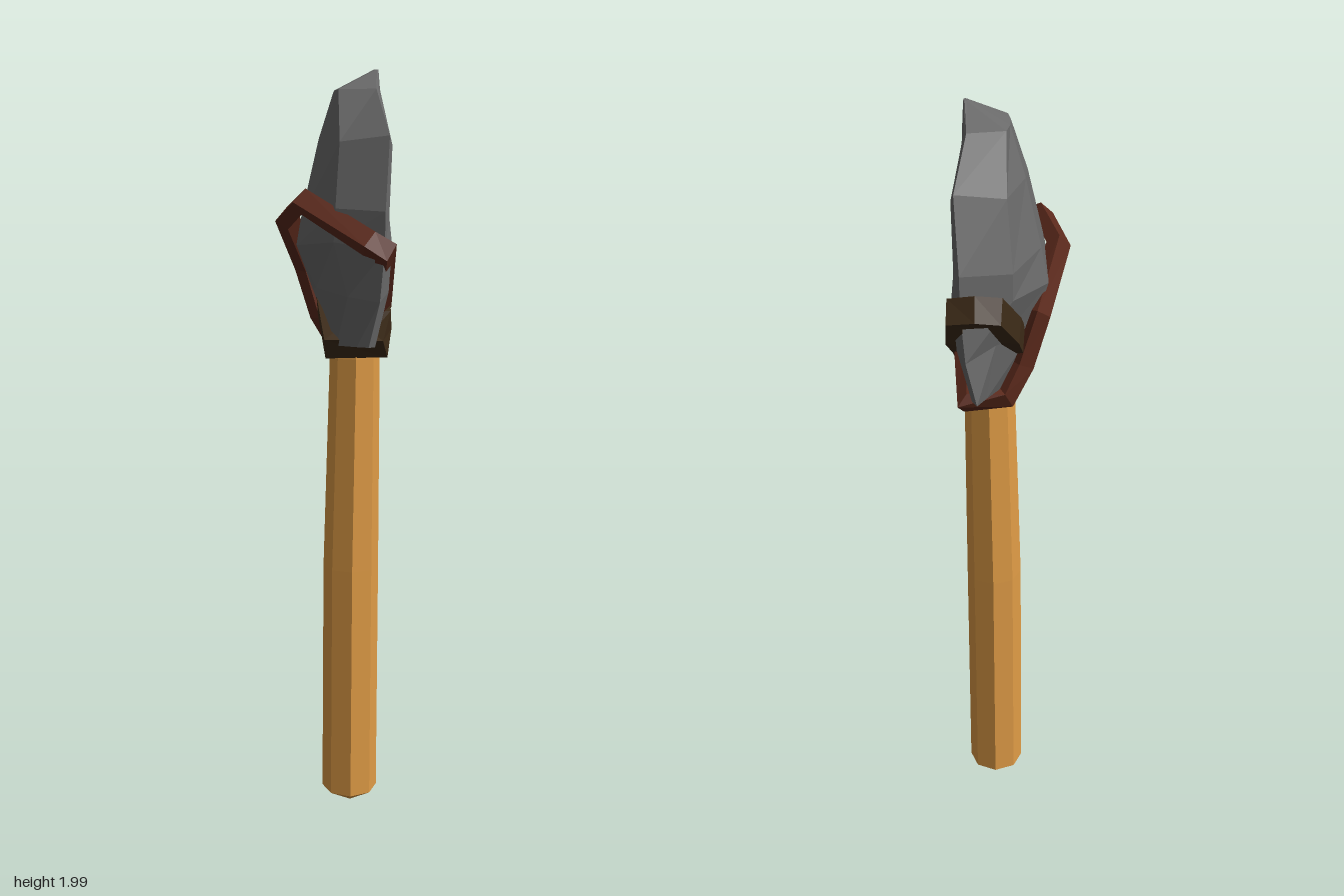
import * as THREE from 'three';

const V = (x, y, z) => new THREE.Vector3(x, y, z);

// Skins a list of equal-sized rings; loops back to the start or caps both ends.
function loft(rings, closed) {
  const n = rings[0].length, pos = [], idx = [];
  rings.flat().forEach(p => pos.push(p.x, p.y, p.z));
  const rows = closed ? rings.length : rings.length - 1;
  for (let i = 0; i < rows; i++) {
    const k = ((i + 1) % rings.length) * n;
    for (let j = 0; j < n; j++) {
      const j2 = (j + 1) % n, a = i * n + j, b = i * n + j2;
      idx.push(a, b, k + j2, a, k + j2, k + j);
    }
  }
  if (!closed) {
    [0, rings.length - 1].forEach((r, end) => {
      const c = V(0, 0, 0);
      rings[r].forEach(p => c.addScaledVector(p, 1 / n));
      const ci = pos.length / 3;
      pos.push(c.x, c.y, c.z);
      for (let j = 0; j < n; j++) {
        const a = r * n + j, b = r * n + (j + 1) % n;
        if (end) idx.push(ci, a, b); else idx.push(ci, b, a);
      }
    });
  }
  const g = new THREE.BufferGeometry();
  g.setAttribute('position', new THREE.Float32BufferAttribute(pos, 3));
  g.setIndex(idx);
  g.computeVertexNormals();
  return g;
}

// Flat strap with a rectangular section following a closed loop of points.
function strap(points, height, depth) {
  const pts = points.map(p => V(...p)), m = pts.length, n = V(0, 0, 0);
  pts.forEach((p, i) => n.add(p.clone().cross(pts[(i + 1) % m])));
  n.normalize();
  const rings = pts.map((p, i) => {
    const before = p.clone().sub(pts[(i + m - 1) % m]).normalize();
    const after = pts[(i + 1) % m].clone().sub(p).normalize();
    const t = before.add(after).normalize();
    const o = n.clone().cross(t).normalize();
    const up = t.clone().cross(o).normalize();
    return [[1, -1], [1, 1], [-1, 1], [-1, -1]].map(([a, b]) =>
      p.clone().addScaledVector(o, a * depth / 2).addScaledVector(up, b * height / 2));
  });
  return loft(rings, true);
}

export function createModel() {
  const group = new THREE.Group();
  const add = (name, geometry, color) => {
    const mesh = new THREE.Mesh(geometry,
      new THREE.MeshStandardMaterial({ color, flatShading: true }));
    mesh.name = name;
    group.add(mesh);
  };

  // Handle: eight-sided pole, pointed at both ends, leaning slightly into the blade
  // y, centre x, radius
  const pole = [[0.01, 0.045, 0.002], [0.055, 0.043, 0.08], [0.7, 0.046, 0.079],
    [1.27, 0.055, 0.07], [1.41, 0.064, 0.06], [1.5, 0.078, 0.002]];
  const poleRings = pole.map(([y, cx, r]) =>
    Array.from({ length: 8 }, (_, j) => {
      const a = j * Math.PI / 4;
      return V(cx + 0.94 * r * Math.sin(a), y, 0.016 + r * Math.cos(a));
    }));
  add('handle', loft(poleRings, false), 0xe09c46);

  // Stone blade: scooped sections with a central ridge and a valley on each side
  // y, half width, edge x, back x, ridge x, valley x, flank blend from back to edge
  const rows = [
    [1.33, 0.285, 0.075, 0.0, 0.05, 0.05, 0.7],
    [1.45, 0.285, 0.105, -0.05, 0.05, 0.03, 0.5],
    [1.57, 0.285, 0.115, -0.095, 0.075, 0.045, 0.4],
    [1.65, 0.285, 0.112, -0.08, 0.1, 0.07, 0.38],
    [1.82, 0.235, 0.122, -0.04, 0.09, 0.11, 0.3],
    [1.945, 0.122, 0.1, 0.0, 0.112, 0.112, 0.08],
    [1.997, 0.015, 0.108, 0.1, 0.112, 0.112, 0.5],
  ];
  const blade = rows.map(([y, w, e, b, f, v, blend], i) => {
    const side = b + (e - b) * blend;
    const lip = i < 5 ? e + 0.016 : (e + f) / 2;
    const section = [[1, e], [0.87, lip], [0.6, v], [0.28, f], [-0.28, f], [-0.6, v],
      [-0.87, lip], [-1, e], [-0.78, side], [-0.27, b], [0.27, b], [0.78, side]];
    return section.map(([u, x], j) => {
      const chip = i < 5 ? Math.sin(i * 5.1 + j * 2.7) : 0;
      const sag = i === 0 ? -0.03 * (1 - Math.abs(u)) : 0.012 * chip;
      return V(x + 0.004 * chip, y + sag, u * w + 0.013);
    });
  });
  add('stoneBlade', loft(blade, false), 0x6a6a6a);

  // Two straps crossing over the handle and behind the blade
  add('redStrap', strap([
    [0.115, 1.56, 0.3], [0.075, 1.58, 0.3], [-0.08, 1.675, 0.17],
    [-0.12, 1.63, 0.065], [-0.07, 1.5, -0.085], [-0.03, 1.37, -0.1],
    [0.01, 1.295, -0.13], [0.11, 1.285, -0.15], [0.118, 1.395, 0.04],
  ], 0.05, 0.04), 0x5c2a1c);
  add('darkStrap', strap([
    [0.125, 1.57, -0.285], [0.075, 1.58, -0.3], [0.03, 1.575, -0.29],
    [-0.005, 1.49, -0.18], [-0.02, 1.4, -0.05], [-0.01, 1.31, 0.085],
    [0.115, 1.31, 0.095], [0.125, 1.37, 0.05], [0.128, 1.49, -0.19],
  ], 0.065, 0.045), 0x3d2b18);

  return group;
}
